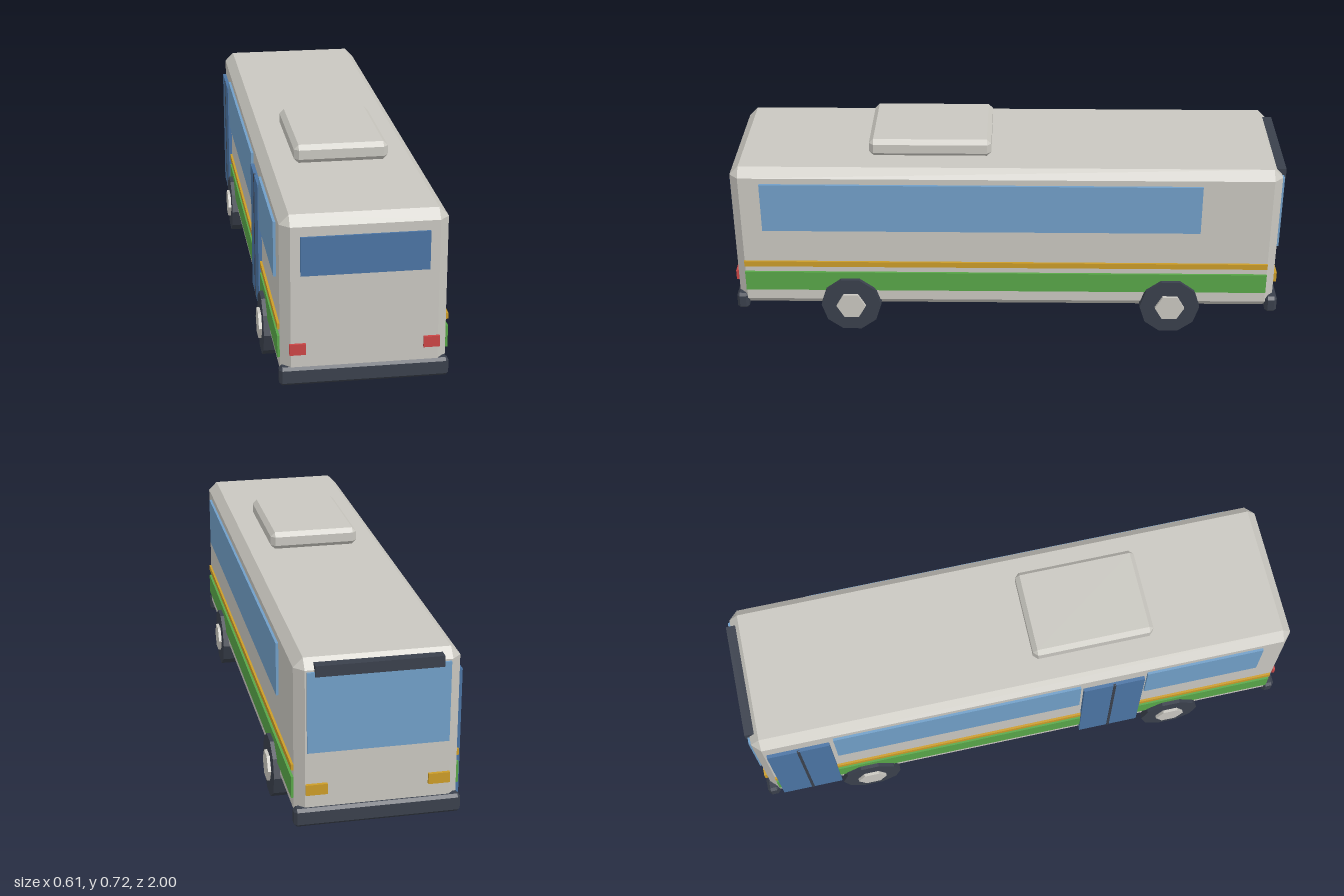
import * as THREE from 'three';
import { ConvexGeometry } from 'three/addons/geometries/ConvexGeometry.js';

const material = (name, color) => {
  const m = new THREE.MeshStandardMaterial({ color });
  m.name = name;
  return m;
};

// Box with every edge cut by a chamfer c, given by its limits
function chamferBox([x0, x1], [y0, y1], [z0, z1], c) {
  const h = [(x1 - x0) / 2, (y1 - y0) / 2, (z1 - z0) / 2];
  const points = [];
  for (const sx of [-1, 1]) for (const sy of [-1, 1]) for (const sz of [-1, 1]) {
    for (let axis = 0; axis < 3; axis++) {
      const p = h.map((v, i) => (i === axis ? v : v - c));
      points.push(new THREE.Vector3(sx * p[0], sy * p[1], sz * p[2]));
    }
  }
  return new ConvexGeometry(points).translate((x0 + x1) / 2, (y0 + y1) / 2, (z0 + z1) / 2);
}

function box([x0, x1], [y0, y1], [z0, z1]) {
  return new THREE.BoxGeometry(x1 - x0, y1 - y0, z1 - z0)
    .translate((x0 + x1) / 2, (y0 + y1) / 2, (z0 + z1) / 2);
}

// Faceted cylinder lying along x
function disc(radius, width, sides) {
  const g = new THREE.CylinderGeometry(radius, radius, width, sides).toNonIndexed();
  g.computeVertexNormals();
  return g.rotateZ(Math.PI / 2);
}

export function createModel() {
  const paint = material('body paint', 0xc9c7c0);
  const glass = material('window glass', 0x719fc8);
  const darkGlass = material('dark blue glass', 0x4b74a4);
  const green = material('green stripe', 0x58a648);
  const amber = material('amber', 0xcb9c28);
  const red = material('red lamp', 0xcb4545);
  const rubber = material('dark trim', 0x3a404c);

  const bus = new THREE.Group();
  bus.name = 'bus';
  const add = (name, geometry, mat) => {
    const mesh = new THREE.Mesh(geometry, mat);
    mesh.name = name;
    bus.add(mesh);
    return mesh;
  };

  // Body and roof unit
  add('body', chamferBox([-0.273, 0.273], [0.085, 0.653], [-0.985, 0.991], 0.032), paint);
  add('roofUnit', chamferBox([-0.163, 0.163], [0.653, 0.718], [0.056, 0.497], 0.016), paint);

  // Bumpers
  add('rearBumper', chamferBox([-0.279, 0.279], [0.073, 0.137], [0.957, 1], 0.01), rubber);
  add('frontBumper', chamferBox([-0.279, 0.279], [0.073, 0.137], [-1, -0.957], 0.01), rubber);

  // Stripes, lamps and wheels on both sides
  for (const s of [-1, 1]) {
    const side = s > 0 ? 'left' : 'right';
    const span = (a, b) => (s > 0 ? [a, b] : [-b, -a]);
    add(side + 'GreenStripe', box(span(0.273, 0.281), [0.16, 0.236], [-0.953, 0.96]), green);
    add(side + 'AmberStripe', box(span(0.273, 0.281), [0.26, 0.281], [-0.953, 0.96]), amber);
    add(side + 'TailLamp', box(span(0.193, 0.246), [0.182, 0.22], [0.991, 1]), red);
    add(side + 'HeadLamp', box(span(0.168, 0.24), [0.185, 0.222], [-0.996, -0.985]), amber);
    for (const [end, z] of [['Front', -0.602], ['Rear', 0.574]]) {
      add(side + end + 'Wheel', disc(0.1104, 0.065, 10), rubber).position.set(s * 0.2625, 0.105, z);
      add(side + end + 'Hub', disc(0.054, 0.06, 6), paint).position.set(s * 0.276, 0.105, z);
    }
  }

  // Side windows: one long pane on +x, two panes broken by a door on -x
  add('leftWindow', box([0.274, 0.283], [0.412, 0.6], [-0.7, 0.883]), glass);
  for (const z of [[-0.7, 0.205], [0.452, 0.883]]) {
    add('rightWindow', box([-0.283, -0.274], [0.412, 0.6], z), glass);
  }

  // Double doors with a dark centre seam
  for (const z of [-0.83, 0.33]) {
    add('door', box([-0.286, -0.273], [0.1, 0.565], [z - 0.113, z + 0.113]), darkGlass);
    add('doorSeam', box([-0.288, -0.28], [0.1, 0.565], [z - 0.005, z + 0.005]), rubber);
  }

  // Rear window, windscreen and its visor
  add('rearWindow', box([-0.209, 0.209], [0.456, 0.588], [0.99, 0.998]), darkGlass);
  add('windscreen', box([-0.235, 0.235], [0.335, 0.615], [-0.993, -0.985]), glass);
  add('visor', box([-0.21, 0.21], [0.602, 0.64], [-1, -0.965]), rubber);

  return bus;
}
